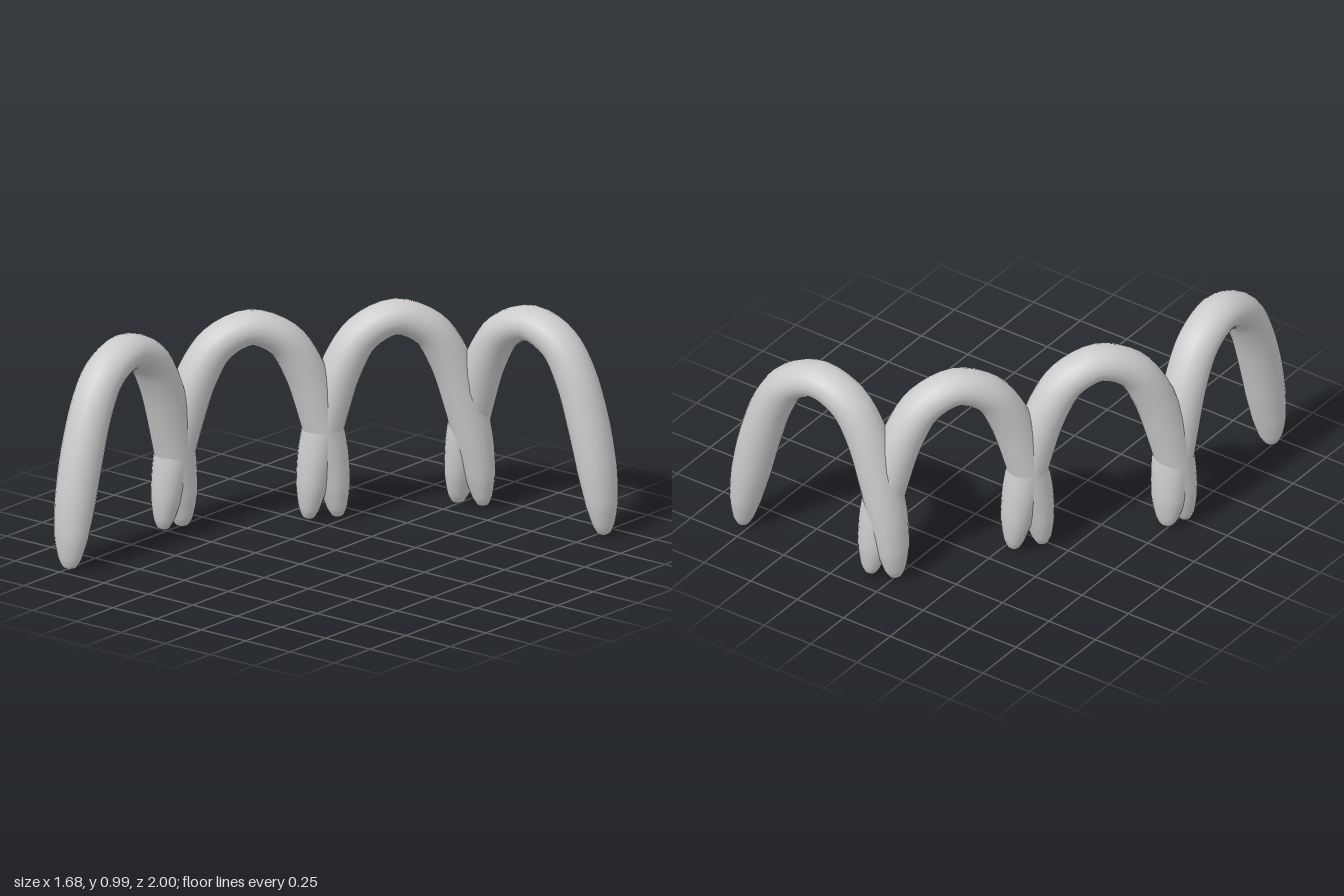
import * as THREE from 'three';

// Half of one arch, apex to foot: [x, y, in-plane radius, sideways radius]
const HALF = [
  [0, 0.905, 0.08, 0.097],
  [0.148, 0.842, 0.085, 0.098],
  [0.235, 0.712, 0.092, 0.098],
  [0.305, 0.51, 0.094, 0.098],
  [0.352, 0.31, 0.088, 0.094],
  [0.38, 0.15, 0.069, 0.081],
  [0.391, 0.05, 0.045, 0.055],
  [0.394, 0.012, 0.026, 0.031],
  [0.395, 0, 0.003, 0.003],
];
const RINGS = 64, SIDES = 20;

// Oval tube swept along the arch, tapering to rounded feet
function archGeometry() {
  const left = HALF.slice(1).reverse().map(([x, ...rest]) => [-x, ...rest]);
  const stations = [...left, ...HALF];
  const path = new THREE.CatmullRomCurve3(stations.map(([x, y]) => new THREE.Vector3(x, y, 0)));
  const radii = new THREE.CatmullRomCurve3(stations.map(([, , a, b]) => new THREE.Vector3(a, b, 0)));
  const positions = [], index = [];
  for (let i = 0; i <= RINGS; i++) {
    const t = i / RINGS;
    const c = path.getPoint(t), r = radii.getPoint(t), d = path.getTangent(t);
    for (let j = 0; j < SIDES; j++) {
      const angle = (j / SIDES) * Math.PI * 2;
      const out = r.x * Math.cos(angle);
      positions.push(c.x - d.y * out, Math.max(0, c.y + d.x * out), r.y * Math.sin(angle));
      if (i === RINGS) continue;
      const a = i * SIDES + j, b = i * SIDES + ((j + 1) % SIDES);
      index.push(a, b, a + SIDES, b, b + SIDES, a + SIDES);
    }
  }
  // Close both foot tips
  const last = RINGS * SIDES;
  for (let j = 1; j < SIDES - 1; j++) {
    index.push(0, j + 1, j, last, last + j, last + j + 1);
  }
  const geometry = new THREE.BufferGeometry();
  geometry.setAttribute('position', new THREE.Float32BufferAttribute(positions, 3));
  geometry.setIndex(index);
  geometry.computeVertexNormals();
  return geometry;
}

export function createModel() {
  const group = new THREE.Group();
  group.name = 'archChain';
  const material = new THREE.MeshStandardMaterial({ color: 0xcccccc });
  const geometry = archGeometry();

  // Arches placed foot to foot along a bent line: name, x, z, turn
  const arches = [
    ['frontArch', -0.737, 0.555, Math.PI / 2],
    ['frontMiddleArch', -0.53, -0.06, 0.915],
    ['backMiddleArch', -0.13, -0.58, 0.915],
    ['backArch', 0.392, -0.88, 0.06],
  ];
  for (const [name, x, z, turn] of arches) {
    const arch = new THREE.Mesh(geometry, material);
    arch.name = name;
    arch.position.set(x, 0, z);
    arch.rotation.y = turn;
    group.add(arch);
  }
  return group;
}
